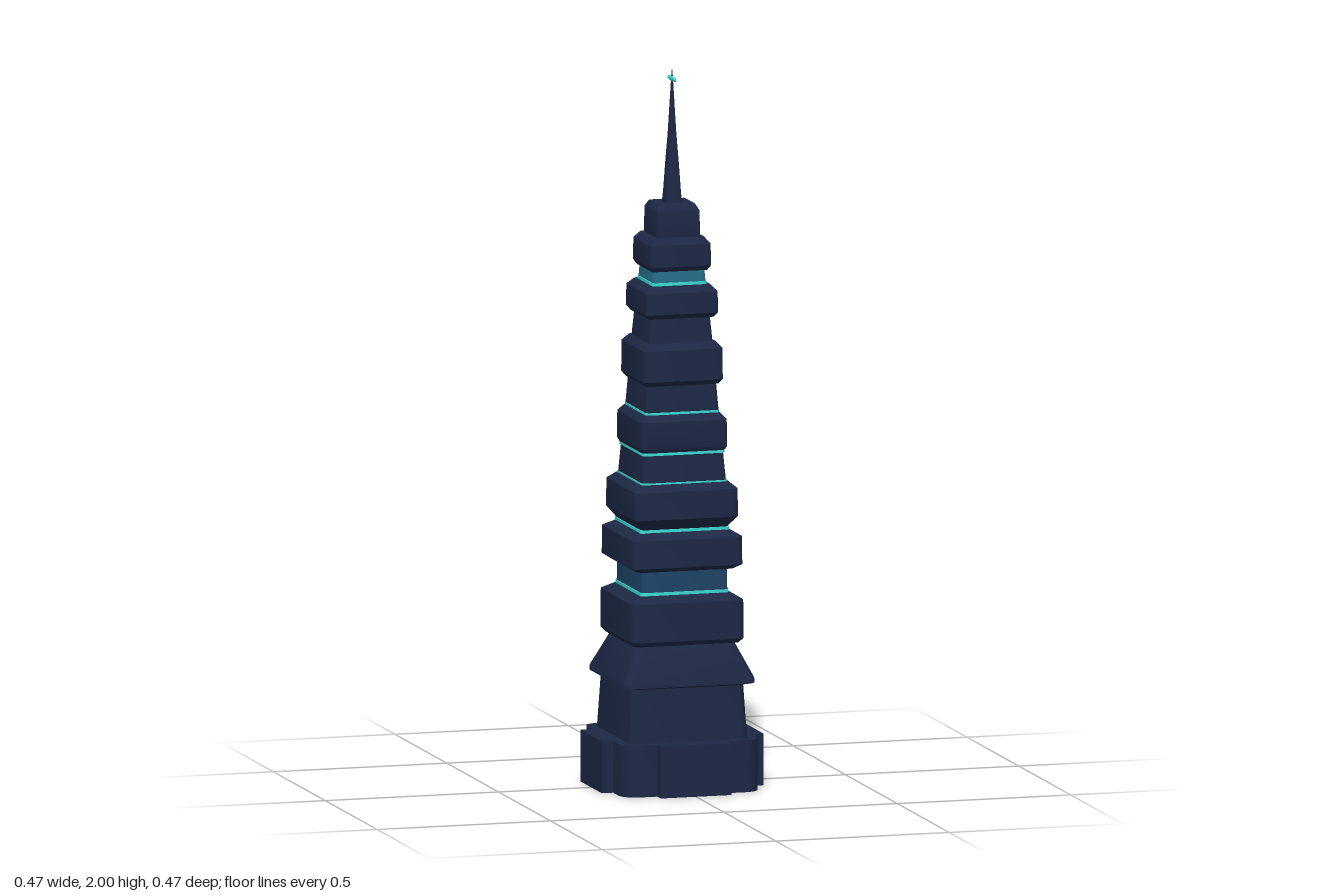
import * as THREE from 'three';
import { toCreasedNormals } from 'three/addons/utils/BufferGeometryUtils.js';

// Outline of a square with rounded corners
function roundedSquare(half, radius, y) {
  const r = Math.min(radius, half * 0.5), steps = 3, ring = [];
  for (let c = 0; c < 4; c++) {
    const mid = Math.PI / 4 + c * Math.PI / 2;
    const cx = Math.sign(Math.cos(mid)) * (half - r);
    const cz = Math.sign(Math.sin(mid)) * (half - r);
    for (let s = 0; s <= steps; s++) {
      const a = c * Math.PI / 2 + (s / steps) * Math.PI / 2;
      ring.push([cx + r * Math.cos(a), y, cz + r * Math.sin(a)]);
    }
  }
  return ring;
}

// Closed loft through rounded squares; profile rows are [height, half width]
function loft(profile, radius) {
  const rings = profile.map(([y, h]) => roundedSquare(h, radius, y));
  const n = rings[0].length, last = rings.length - 1, pos = [];
  const tri = (a, b, c) => pos.push(...a, ...b, ...c);
  const low = [0, profile[0][0], 0], high = [0, profile[last][0], 0];
  for (let i = 0; i < n; i++) {
    const j = (i + 1) % n;
    for (let k = 0; k < last; k++) {
      const a = rings[k][i], b = rings[k][j], c = rings[k + 1][j], d = rings[k + 1][i];
      tri(a, d, c);
      tri(a, c, b);
    }
    tri(low, rings[0][i], rings[0][j]);
    tri(high, rings[last][j], rings[last][i]);
  }
  const g = new THREE.BufferGeometry();
  g.setAttribute('position', new THREE.Float32BufferAttribute(pos, 3));
  return toCreasedNormals(g, 0.55);
}

export function createModel() {
  const group = new THREE.Group();
  const material = (name, color) => {
    const m = new THREE.MeshStandardMaterial({ color });
    m.name = name;
    return m;
  };
  const navy = material('navy', 0x1d2845);
  const blue = material('window blue', 0x1d4468);
  const teal = material('window teal', 0x256d88);
  const cyan = material('glowing cyan', 0x3cdcd6);

  const add = (name, geometry, mat) => {
    const mesh = new THREE.Mesh(geometry, mat);
    mesh.name = name;
    group.add(mesh);
    return mesh;
  };

  // Podium with a projecting bay on each side
  add('podium', loft([[0, 0.2], [0.145, 0.2]], 0.045), navy);
  for (let i = 0; i < 4; i++) {
    const bay = add('podiumBay', new THREE.BoxGeometry(0.204, 0.145, 0.06), navy);
    const a = i * Math.PI / 2;
    bay.position.set(Math.sin(a) * 0.203, 0.0725, Math.cos(a) * 0.203);
    bay.rotation.y = a;
  }

  // Lower shaft and its flared skirt roof
  add('lowerShaft', loft([[0.145, 0.172], [0.3, 0.163]], 0.025), navy);
  add('skirtRoof', loft([[0.295, 0.165], [0.302, 0.19], [0.315, 0.189], [0.415, 0.142]], 0.03), navy);

  // Stacked tiers: [bottom, top, half width, half at bottom rim, half at top rim, bevel, corner radius]
  const tiers = [
    [0.412, 0.55, 0.163, 0.152, 0.132, 0.013, 0.018],
    [0.618, 0.727, 0.16, 0.14, 0.128, 0.013, 0.018],
    [0.733, 0.86, 0.15, 0.125, 0.128, 0.032, 0.016],
    [0.946, 1.052, 0.125, 0.118, 0.108, 0.013, 0.012],
    [1.132, 1.25, 0.115, 0.105, 0.098, 0.013, 0.01],
    [1.318, 1.408, 0.104, 0.094, 0.086, 0.013, 0.008],
    [1.448, 1.54, 0.088, 0.08, 0.072, 0.013, 0.006],
    [1.536, 1.63, 0.063, 0.062, 0.052, 0.013, 0.004],
  ];
  for (const [y0, y1, h, lo, hi, bevel, radius] of tiers) {
    add('tier', loft([[y0, lo], [y0 + bevel, h], [y1 - 0.018, h - 0.001], [y1, hi]], radius), navy);
  }

  // Recessed storeys between the tiers: [bottom, top, lower half, upper half, colour]
  const necks = [
    [0.55, 0.62, 0.125, 0.124, blue],
    [0.86, 0.947, 0.122, 0.115, navy],
    [1.05, 1.134, 0.106, 0.1, navy],
    [1.248, 1.32, 0.092, 0.086, navy],
    [1.408, 1.45, 0.077, 0.074, teal],
  ];
  for (const [y0, y1, a, b, mat] of necks) {
    add('recessedStorey', loft([[y0, a], [y1, b]], 0.01), mat);
  }

  // Thin light strips: [height, half width, thickness]
  const strips = [
    [0.554, 0.128, 0.009], [0.73, 0.129, 0.009], [0.861, 0.124, 0.007],
    [0.944, 0.119, 0.008], [1.055, 0.107, 0.007], [1.412, 0.079, 0.009],
  ];
  for (const [y, h, t] of strips) {
    add('lightStrip', loft([[y - t / 2, h], [y + t / 2, h]], 0.01), cyan);
  }

  // Tapering spire with a slim crossbar, thickest in the middle
  add('spire', loft([
    [1.625, 0.025], [1.66, 0.022], [1.74, 0.017], [1.82, 0.011], [1.91, 0.006], [2, 0.001],
  ], 0.01), navy);
  const bar = add('spireCrossbar', new THREE.SphereGeometry(1, 12, 8), cyan);
  bar.scale.set(0.005, 0.007, 0.042);
  bar.position.y = 1.975;

  return group;
}
